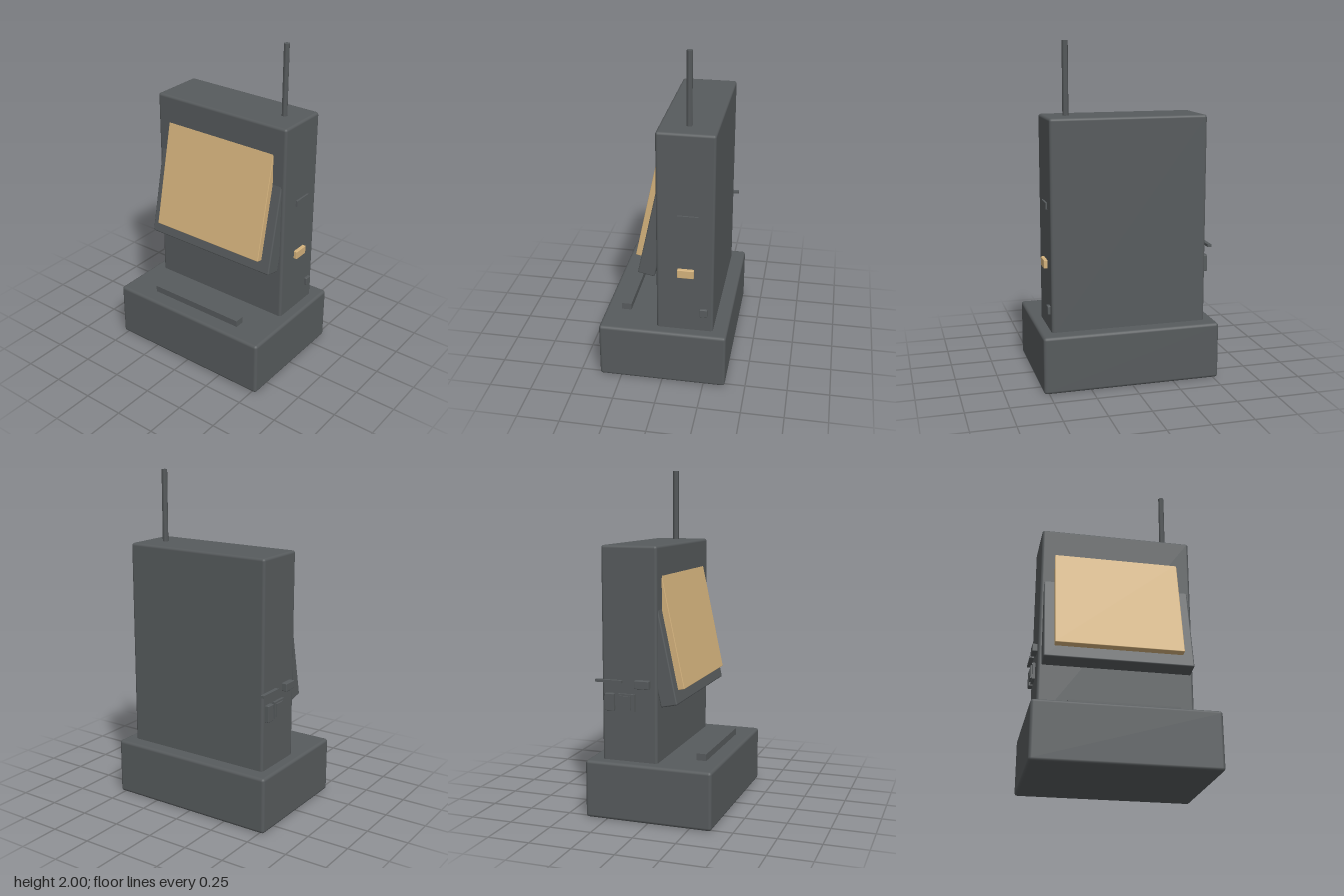
import * as THREE from 'three';
import { RoundedBoxGeometry } from 'three/addons/geometries/RoundedBoxGeometry.js';

export function createModel() {
  const model = new THREE.Group();
  const grey = new THREE.MeshStandardMaterial({ color: 0x575b5d });
  grey.name = 'slate grey';
  const tan = new THREE.MeshStandardMaterial({ color: 0xd4b27c });
  tan.name = 'tan';

  // Box between two limits on each axis, with optional softened edges
  function box(name, [x0, x1], [y0, y1], [z0, z1], material = grey, bevel = 0, parent = model) {
    const size = [x1 - x0, y1 - y0, z1 - z0];
    const geometry = bevel
      ? new RoundedBoxGeometry(...size, 2, bevel)
      : new THREE.BoxGeometry(...size);
    const mesh = new THREE.Mesh(geometry, material);
    mesh.name = name;
    mesh.position.set((x0 + x1) / 2, (y0 + y1) / 2, (z0 + z1) / 2);
    parent.add(mesh);
    return mesh;
  }

  // Main housing
  box('base', [-0.53, 0.53], [0, 0.34], [-0.38, 0.38], grey, 0.018);
  box('body', [-0.465, 0.465], [0.32, 1.575], [-0.295, 0.04], grey, 0.016);
  box('frontBar', [-0.317, 0.317], [0.33, 0.38], [0.225, 0.285]);

  // Tilted screen assembly, pivoting at the lower front edge of its frame
  const display = new THREE.Group();
  display.name = 'display';
  display.position.set(0, 0.685, 0.153);
  display.rotation.x = -THREE.MathUtils.degToRad(12);
  model.add(display);
  box('screenFrame', [-0.445, 0.445], [0, 0.75], [-0.1, 0], grey, 0.008, display);
  box('screen', [-0.383, 0.383], [0.075, 0.74], [-0.005, 0.039], tan, 0.004, display);

  // Antenna
  const antenna = new THREE.Mesh(new THREE.CylinderGeometry(0.018, 0.018, 0.44, 6), grey);
  antenna.geometry.rotateY(Math.PI / 6);
  antenna.name = 'antenna';
  antenna.position.set(0.337, 1.78, -0.128);
  model.add(antenna);

  // Fittings on the left side
  box('upperSlot', [0.455, 0.476], [1.05, 1.087], [-0.204, -0.083]);
  box('tanButton', [0.455, 0.486], [0.695, 0.747], [-0.182, -0.085], tan, 0.004);
  box('lowerButton', [0.455, 0.482], [0.44, 0.49], [-0.262, -0.217], grey, 0.004);

  // Fittings on the right side
  box('rod', [-0.492, -0.468], [0.798, 0.813], [-0.328, -0.167]);
  box('rearSocket', [-0.49, -0.455], [0.635, 0.735], [-0.27, -0.215], grey, 0.004);
  box('middleSocketPlate', [-0.481, -0.455], [0.635, 0.735], [-0.19, -0.09]);
  box('middleSocket', [-0.49, -0.455], [0.645, 0.725], [-0.18, -0.113]);
  box('frontSocket', [-0.496, -0.455], [0.772, 0.82], [-0.088, 0], grey, 0.004);

  return model;
}
